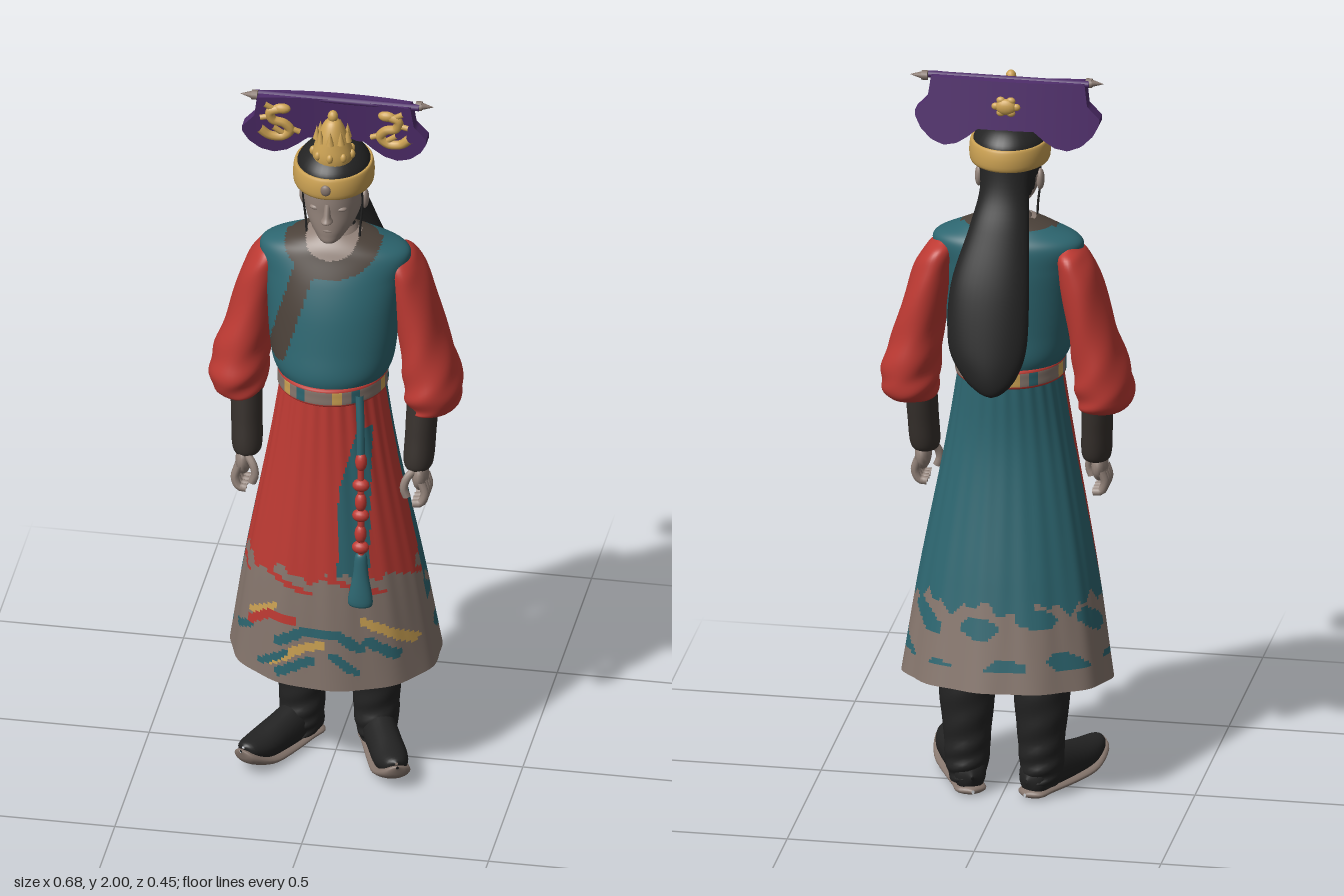
import * as THREE from 'three';

const mat = (name, color, side = THREE.FrontSide) => {
  const m = new THREE.MeshStandardMaterial({ color, side });
  m.name = name;
  return m;
};
const teal = mat('teal cloth', 0x2d6670), red = mat('red cloth', 0xbe3a33, THREE.DoubleSide);
const taupe = mat('taupe trim', 0x86766d), black = mat('black', 0x232323);
const purple = mat('purple', 0x4f2d6b), gold = mat('gold', 0xcca253);
const brown = mat('brown collar', 0x4c423a), cuffBrown = mat('dark cuff', 0x37312d);
const skin = mat('skin', 0x94847b);

// Smooth skin over elliptical rings [y, cx, cz, rx, rz], listed from top to bottom.
// rule(x, y, z, t) picks an index into mats; deform(p, t, v) moves a point.
function loft(rows, { seg = 24, steps = 24, mats = [black], rule = () => 0, deform } = {}) {
  const last = rows.length - 1;
  const curve = new THREE.CubicInterpolant(rows.map((_, i) => i), new Float32Array(rows.flat()), 5);
  const pos = [], lists = mats.map(() => []), p = new THREE.Vector3();
  for (let i = 0; i <= steps; i++) {
    const [y, cx, cz, rx, rz] = Array.from(curve.evaluate(i / steps * last));
    for (let j = 0; j < seg; j++) {
      const t = j / seg * Math.PI * 2;
      p.set(cx + Math.max(rx, 0.0005) * Math.sin(t), y, cz + Math.max(rz, 0.0005) * Math.cos(t));
      if (deform) deform(p, t, i / steps);
      pos.push(p.x, p.y, p.z);
    }
  }
  for (let i = 0; i < steps; i++) for (let j = 0; j < seg; j++) {
    const k = (j + 1) % seg, a = i * seg + j, b = i * seg + k, c = a + seg, d = b + seg;
    const mid = n => (pos[a * 3 + n] + pos[d * 3 + n]) / 2;
    lists[rule(mid(0), mid(1), mid(2), (j + 0.5) / seg * Math.PI * 2)].push(a, c, b, c, d, b);
  }
  const g = new THREE.BufferGeometry();
  g.setAttribute('position', new THREE.Float32BufferAttribute(pos, 3));
  g.setIndex(lists.flat());
  let start = 0;
  lists.forEach((l, n) => { g.addGroup(start, l.length, n); start += l.length; });
  g.computeVertexNormals();
  return g;
}

const tube = (pts, r, n = 20) => new THREE.TubeGeometry(
  new THREE.CatmullRomCurve3(pts.map(q => new THREE.Vector3(...q))), n, r, 8);

// Distance from (x, y) to a segment [x1, y1, x2, y2]
function segDist(x, y, [x1, y1, x2, y2]) {
  const dx = x2 - x1, dy = y2 - y1;
  const t = THREE.MathUtils.clamp(((x - x1) * dx + (y - y1) * dy) / (dx * dx + dy * dy), 0, 1);
  return Math.hypot(x - x1 - t * dx, y - y1 - t * dy);
}

// Piecewise linear height from [x, y] points
function along(pts, x) {
  let i = 1;
  while (i < pts.length - 1 && x > pts[i][0]) i++;
  const [a, b] = [pts[i - 1], pts[i]];
  return THREE.MathUtils.mapLinear(x, a[0], b[0], a[1], b[1]);
}

export function createModel() {
  const model = new THREE.Group();
  const add = (name, geo, m, parent = model) => {
    const o = new THREE.Mesh(geo, m);
    o.name = name;
    parent.add(o);
    return o;
  };
  const ball = (name, m, [x, y, z], [sx, sy, sz], parent) => {
    const o = add(name, new THREE.SphereGeometry(1, 16, 10), m, parent);
    o.position.set(x, y, z);
    o.scale.set(sx, sy, sz);
  };

  // Robe skirt: red front panels, teal back and slit, patterned hem
  const strokes = [ // x1, y1, x2, y2, half width, material
    [-0.17, 0.35, -0.1, 0.4, 0.01, 1], [-0.15, 0.36, -0.06, 0.42, 0.013, 3], [-0.06, 0.42, 0, 0.44, 0.012, 3],
    [-0.12, 0.34, -0.03, 0.39, 0.013, 1], [-0.12, 0.43, -0.05, 0.475, 0.014, 1], [-0.05, 0.475, 0.04, 0.475, 0.015, 1],
    [-0.2, 0.46, -0.15, 0.5, 0.012, 0], [-0.15, 0.5, -0.08, 0.5, 0.012, 0], [-0.2, 0.49, -0.13, 0.53, 0.009, 3],
    [0.04, 0.475, 0.1, 0.43, 0.014, 1], [0.11, 0.51, 0.16, 0.48, 0.012, 3], [0.16, 0.48, 0.23, 0.43, 0.013, 3],
    [0.12, 0.45, 0.19, 0.4, 0.014, 1], [-0.24, 0.42, -0.2, 0.45, 0.01, 1], [0.03, 0.41, 0.09, 0.36, 0.011, 1]];
  const skirtRule = (x, y, z, t) => {
    const wave = 0.014 * Math.sin(9 * t) + 0.01 * Math.sin(23 * t + 1);
    const front = z > 0.035;
    if (y > (front ? 0.64 : 0.555) + wave) {
      if (!front) return 1;
      return x > Math.max(0.042, 0.042 + (y - 0.9) * 0.25) && x < 0.122 && y < 1.08 ? 1 : 0;
    }
    if (z > 0.035) {
      const s = strokes.find(q => segDist(x, y, q) < q[4]);
      if (s) return s[5];
      return y > 0.59 && Math.sin(7 * t + y * 90) > 0.7 ? 0 : 2;
    }
    return y > 0.39 && Math.sin(y * 52 + Math.sin(3 * t)) + 0.7 * Math.sin(9 * t + y * 25) > 0.65 ? 1 : 2;
  };
  const folds = inset => (p, t, v) => {
    const f = 1 - inset + 0.012 * v * Math.sin(11 * t) + 0.01 * Math.sin(26 * t) * (1 - v);
    p.x *= f;
    p.z = 0.03 + (p.z - 0.03) * f;
    p.y += 0.032 * v * v * (1 - Math.cos(t)) / 2;
  };
  const skirt = [[1.18, 0, 0.042, 0.135, 0.142], [0.95, 0, 0.043, 0.172, 0.15],
    [0.6, 0, 0.021, 0.236, 0.191], [0.305, 0, -0.004, 0.28, 0.221]];
  add('skirt', loft(skirt, { seg: 180, steps: 100, mats: [red, teal, taupe, gold], rule: skirtRule, deform: folds(0) }),
    [red, teal, taupe, gold]);
  add('skirtLining', loft(skirt, { seg: 78, steps: 21, deform: folds(0.025) }), red);

  // Vest with open neckline and crossed brown collar
  const vestRule = (x, y, z) => {
    if (z < 0) return y > 1.585 ? 1 : 0;
    const oval = (rx, ry) => (x / rx) ** 2 + ((y - 1.6) / ry) ** 2 < 1;
    if (oval(0.07, 0.05)) return 2;
    return oval(0.132, 0.098) || segDist(x, y, [-0.068, 1.51, -0.135, 1.28]) < 0.028 ? 1 : 0;
  };
  add('vest', loft([[1.605, 0, 0.015, 0.06, 0.058], [1.578, 0, 0.01, 0.135, 0.085], [1.545, 0, 0.005, 0.199, 0.105],
    [1.48, 0, 0.015, 0.188, 0.123], [1.4, 0, 0.027, 0.178, 0.135], [1.3, 0, 0.037, 0.17, 0.143],
    [1.23, 0, 0.041, 0.159, 0.15], [1.185, 0, 0.042, 0.136, 0.14]],
  { seg: 130, steps: 84, mats: [teal, brown, skin], rule: vestRule }), [teal, brown, skin]);

  // Belt with patterned band and red edges
  add('belt', loft([[1.207, 0, 0.042, 0.13, 0.138], [1.203, 0, 0.042, 0.145, 0.152], [1.18, 0, 0.042, 0.146, 0.153],
    [1.157, 0, 0.042, 0.145, 0.152], [1.153, 0, 0.042, 0.13, 0.138]], {
    seg: 108, steps: 16, mats: [red, taupe, gold, teal],
    rule: (x, y, z, t) => {
      if (y > 1.197 || y < 1.163) return 0;
      const k = Math.floor(t / Math.PI * 18) % 6;
      return k === 1 ? 2 : k === 3 ? 3 : 1;
    } }), [red, taupe, gold, teal]);

  // Hanging cord with beads and tassel
  const tassel = new THREE.Group();
  tassel.name = 'beltTassel';
  model.add(tassel);
  add('upperCord', tube([[0.095, 1.19, 0.175], [0.1, 1.1, 0.187], [0.102, 1.0, 0.194]], 0.011), teal, tassel);
  add('lowerCord', tube([[0.102, 1.0, 0.194], [0.103, 0.9, 0.198], [0.105, 0.72, 0.205]], 0.009), red, tassel);
  [1.0, 0.93, 0.88, 0.84, 0.785, 0.745].forEach((y, i) =>
    ball('bead', red, [0.103, y, 0.23 - y * 0.035], i % 2 ? [0.023, 0.018, 0.018] : [0.016, 0.028, 0.016], tassel));
  add('fringe', loft([[0.73, 0.104, 0.203, 0.006, 0.006], [0.715, 0.104, 0.203, 0.016, 0.014],
    [0.66, 0.104, 0.205, 0.021, 0.015], [0.575, 0.103, 0.206, 0.033, 0.018], [0.57, 0.103, 0.206, 0.002, 0.002]]), teal, tassel);

  // Arms, hands and boots
  for (const s of [1, -1]) {
    const side = s > 0 ? 'left' : 'right';
    const flip = rows => rows.map(([y, cx, cz, rx, rz]) => [y, cx * s, cz, rx, rz]);
    add(side + 'Sleeve', loft(flip([[1.54, 0.165, -0.012, 0.02, 0.04], [1.515, 0.175, -0.014, 0.04, 0.078],
      [1.45, 0.196, -0.015, 0.055, 0.09], [1.3, 0.23, -0.013, 0.064, 0.095], [1.2, 0.252, -0.008, 0.075, 0.102],
      [1.135, 0.26, -0.005, 0.077, 0.105], [1.09, 0.257, 0, 0.066, 0.085], [1.077, 0.24, 0.02, 0.03, 0.04]]), {
      seg: 40, steps: 49, deform: (p, t, v) => {
        p.x += s * 0.004 * Math.sin(v * 34 + 3 * t) * v;
        p.z += 0.004 * Math.cos(v * 28 + 2 * t) * v;
      } }), red);
    add(side + 'Cuff', loft(flip([[1.13, 0.237, 0.014, 0.042, 0.055], [1.02, 0.233, 0.03, 0.041, 0.053],
      [0.925, 0.229, 0.045, 0.037, 0.046], [0.92, 0.229, 0.045, 0.004, 0.004]])), cuffBrown);

    const hand = new THREE.Group();
    hand.name = side + 'Hand';
    model.add(hand);
    ball('palm', skin, [0.236 * s, 0.898, 0.054], [0.022, 0.045, 0.043], hand);
    [0.026, 0.047, 0.068, 0.087].forEach(z => add('finger', tube([[0.245 * s, 0.89, z], [0.254 * s, 0.855, z + 0.003],
      [0.243 * s, 0.83, z + 0.005], [0.222 * s, 0.827, z + 0.006]], 0.0115, 10), skin, hand));
    add('thumb', tube([[0.23 * s, 0.925, 0.072], [0.206 * s, 0.9, 0.09], [0.199 * s, 0.872, 0.096], [0.207 * s, 0.848, 0.096]], 0.011, 10), skin, hand);

    add(side + 'BootShaft', loft(flip([[0.6, 0.096, -0.04, 0.074, 0.075], [0.4, 0.098, -0.045, 0.077, 0.077],
      [0.28, 0.1, -0.048, 0.075, 0.076], [0.16, 0.099, -0.052, 0.063, 0.066], [0.08, 0.1, -0.05, 0.058, 0.066],
      [0.03, 0.1, -0.05, 0.045, 0.058]]), {
      steps: 40, deform: (p, t, v) => { p.z += 0.004 * Math.sin(v * 45 + 2 * t) * v; } }), black);
    const foot = new THREE.Group();
    foot.name = side + 'Foot';
    foot.position.set(0.1 * s, 0, -0.05);
    foot.rotation.y = s > 0 ? 0.39 : -0.48;
    model.add(foot);
    const upper = loft([[0.252, 0, -0.082, 0.004, 0.004], [0.235, 0, -0.07, 0.03, 0.024], [0.18, 0, -0.058, 0.046, 0.04],
      [0.1, 0, -0.06, 0.046, 0.052], [0.02, 0, -0.065, 0.045, 0.06], [-0.045, 0, -0.055, 0.041, 0.05], [-0.068, 0, -0.05, 0.004, 0.006]]);
    add('upper', upper.rotateX(Math.PI / 2), black, foot);
    const sole = loft([[0.262, 0, -0.075, 0.004, 0.004], [0.245, 0, -0.054, 0.034, 0.02], [0.18, 0, -0.024, 0.051, 0.017],
      [0.1, 0, -0.014, 0.048, 0.014], [0, 0, -0.013, 0.042, 0.013], [-0.05, 0, -0.013, 0.04, 0.013], [-0.074, 0, -0.013, 0.004, 0.005]]);
    add('sole', sole.rotateX(Math.PI / 2), taupe, foot);

    // Ear, eyelid, sideburn strand
    ball(side + 'Ear', skin, [0.082 * s, 1.705, 0.025], [0.011, 0.03, 0.017]);
    ball(side + 'Eyelid', skin, [0.032 * s, 1.716, 0.111], [0.018, 0.008, 0.012]);
    add(side + 'HairStrand', tube([[0.076 * s, 1.77, 0.05], [0.079 * s, 1.7, 0.045], [0.073 * s, 1.63, 0.04], [0.07 * s, 1.575, 0.045]], 0.003), black);
  }

  // Neck, under-collar and head
  add('neck', loft([[1.68, 0, 0.015, 0.045, 0.05], [1.62, 0, 0.015, 0.045, 0.048], [1.55, 0, 0.015, 0.06, 0.06]]), skin);
  add('underCollar', loft([[1.618, 0, 0.005, 0.055, 0.048], [1.595, 0, 0.015, 0.066, 0.062], [1.56, 0, 0.025, 0.078, 0.075]]), taupe);
  add('head', loft([[1.82, 0, 0.033, 0.078, 0.095], [1.74, 0, 0.033, 0.079, 0.097], [1.7, 0, 0.035, 0.076, 0.093],
    [1.665, 0, 0.045, 0.066, 0.083], [1.635, 0, 0.063, 0.047, 0.064], [1.612, 0, 0.088, 0.025, 0.034], [1.605, 0, 0.09, 0.002, 0.002]],
  { seg: 56, steps: 36, mats: [skin, black], rule: (x, y, z) => (z < 0.005 && y > 1.64) || (y > 1.725 && z < 0.055) ? 1 : 0 }), [skin, black]);
  add('nose', loft([[1.735, 0, 0.122, 0.008, 0.01], [1.7, 0, 0.13, 0.01, 0.016], [1.685, 0, 0.132, 0.016, 0.022],
    [1.676, 0, 0.122, 0.004, 0.006]], { seg: 16, steps: 12 }), skin);
  ball('lips', skin, [0, 1.652, 0.115], [0.022, 0.008, 0.014]);
  ball('chin', skin, [0, 1.624, 0.108], [0.02, 0.014, 0.017]);

  // Long hair falling down the back
  add('longHair', loft([[1.8, 0, -0.025, 0.075, 0.05], [1.7, 0, -0.05, 0.066, 0.042], [1.6, 0.008, -0.088, 0.08, 0.04],
    [1.45, 0.025, -0.13, 0.105, 0.046], [1.3, 0.026, -0.16, 0.105, 0.05], [1.22, 0.018, -0.178, 0.074, 0.044],
    [1.18, 0.012, -0.19, 0.036, 0.028], [1.165, 0.01, -0.198, 0.002, 0.002]], { seg: 36, steps: 42 }), black);

  // Cap, gold headband and front gem
  add('cap', loft([[1.874, 0, 0.028, 0.002, 0.002], [1.87, 0, 0.028, 0.035, 0.04], [1.855, 0, 0.028, 0.068, 0.079],
    [1.825, 0, 0.029, 0.094, 0.109], [1.79, 0, 0.03, 0.1, 0.115]], { seg: 36 }), black);
  add('headband', loft([[1.819, 0, 0.03, 0.094, 0.109], [1.818, 0, 0.03, 0.103, 0.118], [1.79, 0, 0.03, 0.107, 0.123],
    [1.76, 0, 0.03, 0.103, 0.118], [1.758, 0, 0.03, 0.08, 0.096]], { seg: 56, steps: 16 }), gold);
  ball('headbandGem', taupe, [0, 1.79, 0.152], [0.014, 0.016, 0.008]);

  // Gold crown ornament with knob, studs and points
  const crown = new THREE.Group();
  crown.name = 'crownOrnament';
  model.add(crown);
  add('crownBody', loft([[1.968, 0.005, 0.072, 0.004, 0.004], [1.955, 0.005, 0.072, 0.022, 0.022], [1.925, 0.005, 0.072, 0.036, 0.036],
    [1.89, 0.005, 0.072, 0.048, 0.044], [1.86, 0.005, 0.07, 0.055, 0.05], [1.83, 0.005, 0.067, 0.05, 0.05]]), gold, crown);
  ball('knob', gold, [0.005, 1.972, 0.072], [0.014, 0.017, 0.014], crown);
  for (let i = 0; i < 9; i++) {
    const a = i / 9 * Math.PI * 2;
    ball('stud', gold, [0.005 + 0.053 * Math.sin(a), 1.867, 0.07 + 0.047 * Math.cos(a)], [0.009, 0.013, 0.009], crown);
    const point = add('point', new THREE.ConeGeometry(0.011, 0.04, 8), gold, crown);
    point.position.set(0.005 + 0.042 * Math.sin(a), 1.925, 0.072 + 0.038 * Math.cos(a));
  }

  // Purple winged board, leaning forward and bowed back in the middle
  const lean = (x, y) => (y - 1.9) * 0.15 + 0.008 - 0.022 * (1 - (x / 0.24) ** 2) - x * 0.03;
  const board = new THREE.BoxGeometry(0.49, 1, 0.04, 60, 10, 1), bp = board.attributes.position;
  for (let i = 0; i < bp.count; i++) {
    const x = bp.getX(i), a = Math.abs(x);
    const top = along([[0, 1.99], [0.205, 1.99], [0.212, 1.93], [0.245, 1.895]], a);
    const low = along([[0, 1.86], [0.075, 1.86], [0.1, 1.838], [0.13, 1.818], [0.165, 1.81], [0.2, 1.822], [0.23, 1.85], [0.245, 1.88]], a);
    const y = THREE.MathUtils.lerp(low, top, bp.getY(i) + 0.5);
    bp.setXYZ(i, x, y, bp.getZ(i) + lean(x, y));
  }
  board.computeVertexNormals();
  add('wingedBoard', board, purple);
  add('topRod', new THREE.CylinderGeometry(0.009, 0.009, 0.44, 12).rotateZ(Math.PI / 2), purple).position.set(0.005, 1.986, 0.012);
  for (const s of [1, -1]) {
    const z = 0.012 - s * 0.01;
    add('rodCollar', new THREE.CylinderGeometry(0.013, 0.013, 0.016, 12).rotateZ(Math.PI / 2), taupe).position.set(0.005 + s * 0.218, 1.986, z);
    add('rodTip', new THREE.ConeGeometry(0.011, 0.035, 12).rotateZ(-s * Math.PI / 2), taupe).position.set(0.005 + s * 0.24, 1.986, z);

    // Coiled gold dragon relief
    const dragon = new THREE.Group();
    dragon.name = 'dragonRelief';
    model.add(dragon);
    const at = (x, y) => [x * s, y, lean(x * s, y) + 0.022];
    const body = [[0.145, 1.955], [0.17, 1.945], [0.165, 1.92], [0.135, 1.908], [0.12, 1.885], [0.14, 1.865], [0.175, 1.868], [0.2, 1.89]];
    add('dragonBody', tube(body.map(q => at(...q)), 0.013, 48), gold, dragon);
    ball('dragonHead', gold, at(0.14, 1.956), [0.024, 0.015, 0.014], dragon);
    [[[0.155, 1.95], [0.185, 1.97]], [[0.13, 1.895], [0.095, 1.88]], [[0.14, 1.875], [0.165, 1.895]], [[0.165, 1.93], [0.197, 1.925]]]
      .forEach(leg => add('dragonLimb', tube(leg.map(q => at(...q)), 0.008, 4), gold, dragon));
  }

  // Small gold rosette on the rear of the board
  ball('rearRosette', gold, [0, 1.925, -0.033], [0.028, 0.022, 0.014]);
  for (let i = 0; i < 6; i++) {
    const a = i / 6 * Math.PI * 2;
    ball('rearPetal', gold, [0.027 * Math.cos(a), 1.925 + 0.02 * Math.sin(a), -0.032], [0.012, 0.01, 0.008]);
  }
  return model;
}
